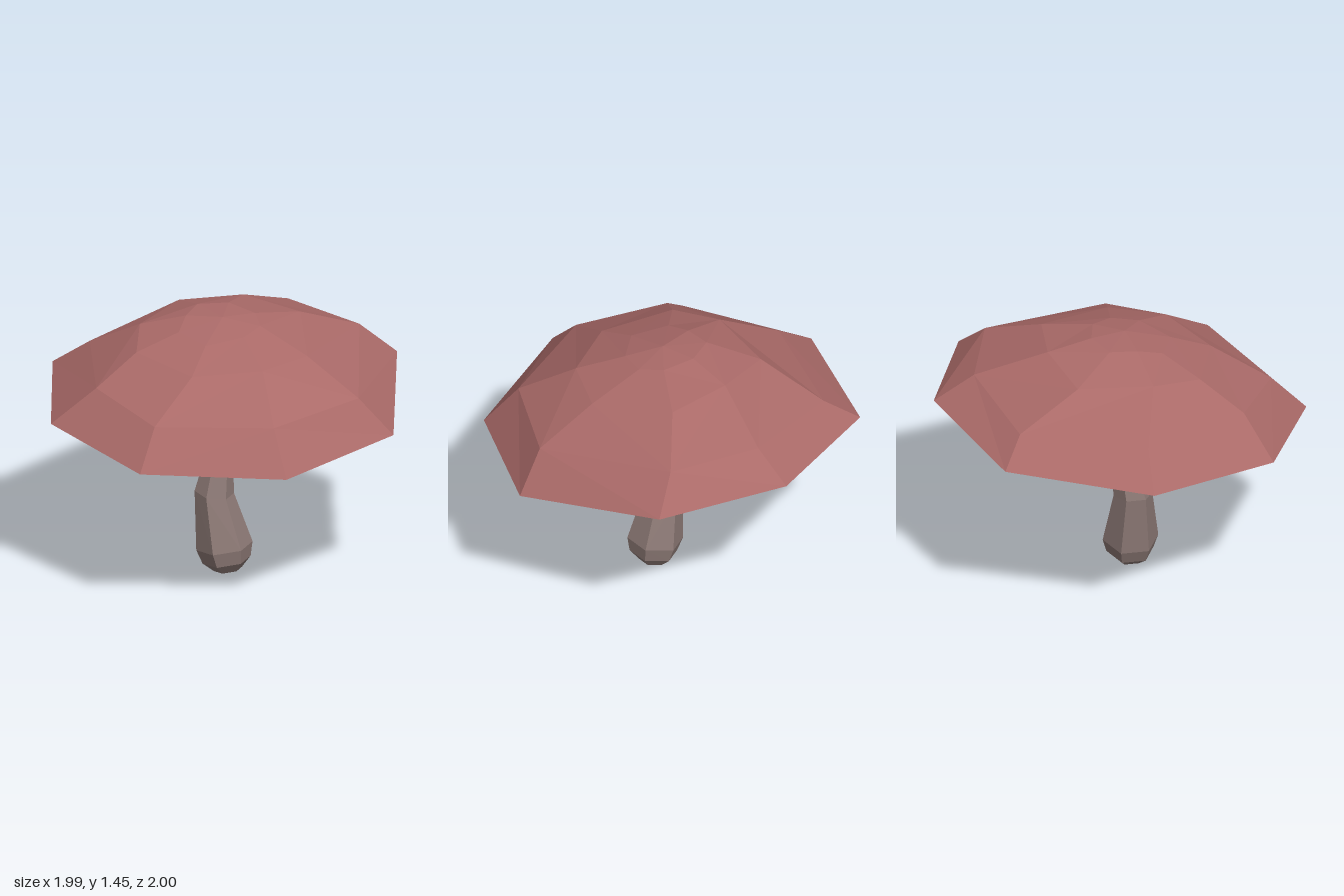
import * as THREE from 'three';

// Faceted skin over rings of points, listed from underneath outward and up
function loft(rings) {
  const pos = [];
  const tri = (a, b, c) => pos.push(...a, ...b, ...c);
  for (let k = 0; k < rings.length - 1; k++) {
    const a = rings[k], b = rings[k + 1];
    const n = Math.max(a.length, b.length);
    for (let i = 0; i < n; i++) {
      const j = (i + 1) % n;
      const a0 = a[i % a.length], a1 = a[j % a.length];
      const b0 = b[i % b.length], b1 = b[j % b.length];
      if (a.length === 1) tri(a0, b0, b1);
      else if (b.length === 1) tri(a1, a0, b0);
      else if (a1[1] + b0[1] >= a0[1] + b1[1]) {
        // fold each quad along its higher diagonal
        tri(a1, a0, b0);
        tri(a1, b0, b1);
      } else {
        tri(a1, a0, b1);
        tri(a0, b0, b1);
      }
    }
  }
  const g = new THREE.BufferGeometry();
  g.setAttribute('position', new THREE.Float32BufferAttribute(pos, 3));
  g.computeVertexNormals();
  return g;
}

export function createModel() {
  const mat = (name, color) => {
    const m = new THREE.MeshStandardMaterial({ color, side: THREE.DoubleSide });
    m.name = name;
    return m;
  };
  const red = mat('dusty red', 0xaa6a68);
  const brown = mat('greyish brown', 0x8c7975);
  const olive = mat('dark olive', 0x8a7d62);

  const group = new THREE.Group();
  group.name = 'mushroom';
  const add = (name, rings, material) => {
    const mesh = new THREE.Mesh(loft(rings), material);
    mesh.name = name;
    group.add(mesh);
  };

  // Cap: uneven eight-sided rings from the tilted rim up to the crown
  const rim = [
    [0.99, 0.93, 0.03], [0.67, 0.875, 0.71], [-0.05, 0.895, 1], [-0.7, 0.965, 0.7],
    [-1, 1.013, 0], [-0.71, 1.075, -0.75], [0.01, 1.12, -1], [0.67, 1.07, -0.74],
  ];
  const shoulder = [
    [0.81, 1.13, 0.08], [0.54, 1.1, 0.58], [-0.05, 1.095, 0.81], [-0.49, 1.16, 0.58],
    [-0.78, 1.17, 0.01], [-0.55, 1.2, -0.64], [0.02, 1.25, -0.78], [0.5, 1.24, -0.63],
  ];
  const upper = [
    [0.49, 1.3, 0.03], [0.36, 1.3, 0.32], [0.03, 1.28, 0.5], [-0.35, 1.31, 0.37],
    [-0.45, 1.355, 0.1], [-0.4, 1.352, -0.3], [-0.07, 1.4, -0.4], [0.27, 1.37, -0.37],
  ];
  const crown = [
    [0.2, 1.41, -0.01], [0.17, 1.395, 0.14], [0.01, 1.37, 0.28], [-0.18, 1.39, 0.2],
    [-0.2, 1.43, 0.06], [-0.2, 1.44, -0.09], [-0.05, 1.447, -0.16], [0.12, 1.43, -0.12],
  ];
  add('cap', [rim, shoulder, upper, crown, [[0, 1.443, 0.03]]], red);

  // Underside rings follow the rim outline and its tilt
  const under = (s, y) => rim.map(([x, , z]) =>
    [x * s, y - 0.043 * x * s - 0.112 * z * s, z * s]);
  const lip = rim.map(([x, y, z]) => [x * 0.95, y + 0.015, z * 0.95]);
  const collarEdge = under(0.47, 1.145);
  add('capUnderside', [collarEdge, lip, rim], olive);

  // Collar: a hanging ring with a shallow hollow around the stem
  add('collar', [[[0, 1.07, 0]], under(0.07, 1.065), under(0.32, 0.99), collarEdge], brown);

  // Stem: bent six-sided column with a bulbous foot; y, centre x, centre z, radius, tilt
  const stem = [
    [0.02, 0.045, 0.063, 0.075, 0.15], [0.072, 0.038, 0.065, 0.128, 0.16],
    [0.15, 0.025, 0.065, 0.15, 0.15], [0.45, -0.033, 0.067, 0.105, -0.12],
    [0.75, -0.012, 0.013, 0.058, 0], [0.92, -0.01, 0.03, 0.036, 0],
    [1.07, -0.005, 0.01, 0.085, 0],
  ].map(([y, cx, cz, r, tilt]) => Array.from({ length: 6 }, (_, i) => {
    const a = Math.PI / 6 + i * Math.PI / 3;
    const dx = r * Math.cos(a);
    return [cx + dx, y + tilt * dx, cz + r * Math.sin(a)];
  }));
  add('stem', [[[0.045, 0, 0.063]], ...stem], brown);

  return group;
}
